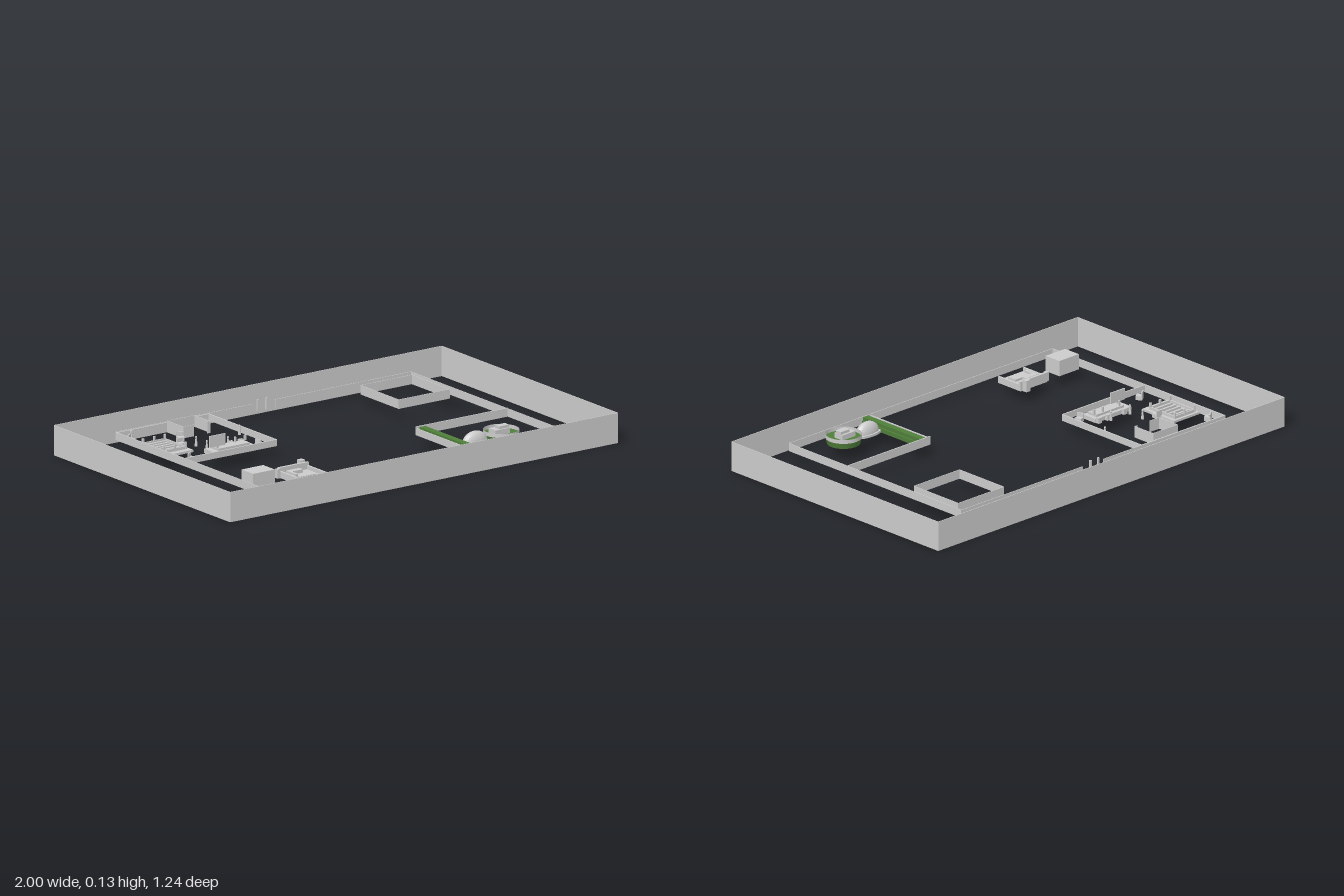
import * as THREE from 'three';

const grey = new THREE.MeshStandardMaterial({ color: 0xcccccc, flatShading: true, side: THREE.DoubleSide });
const green = new THREE.MeshStandardMaterial({ color: 0x4f7f3a, flatShading: true, side: THREE.DoubleSide });
const G = 0.05; // yard level

export function createModel() {
  const root = new THREE.Group();

  const add = (parent, name, geo, mat = grey) => {
    const m = new THREE.Mesh(geo, mat);
    m.name = name;
    parent.add(m);
    return m;
  };
  const group = (name, x = 0, z = 0, turn = 0) => {
    const g = new THREE.Group();
    g.name = name;
    g.position.set(x, 0, z);
    g.rotation.y = turn;
    root.add(g);
    return g;
  };
  // Box given by its extents on each axis
  const box = (parent, name, x0, x1, y0, y1, z0, z1, mat) => {
    const m = add(parent, name, new THREE.BoxGeometry(x1 - x0, y1 - y0, z1 - z0), mat);
    m.position.set((x0 + x1) / 2, (y0 + y1) / 2, (z0 + z1) / 2);
    return m;
  };
  // Thin upright wall between two points on the ground plan
  const wall = (parent, name, x0, z0, x1, z1, y0, y1, t = 0.003) => {
    const m = add(parent, name, new THREE.BoxGeometry(Math.hypot(x1 - x0, z1 - z0), y1 - y0, t));
    m.position.set((x0 + x1) / 2, (y0 + y1) / 2, (z0 + z1) / 2);
    m.rotation.y = -Math.atan2(z1 - z0, x1 - x0);
    return m;
  };
  // Closed rectangle of walls
  const enclosure = (parent, name, x0, x1, z0, z1, y0, y1, t) => {
    const c = [[x0, z0], [x1, z0], [x1, z1], [x0, z1]];
    c.forEach((p, i) => wall(parent, name, ...p, ...c[(i + 1) % 4], y0, y1, t));
  };

  // Tall outer walls
  const outer = group('outerWalls');
  enclosure(outer, 'outerWall', -0.998, 0.995, -0.618, 0.617, 0, 0.13, 0.003);

  // Low yard wall with a gateway at the back
  const yard = group('yardWall');
  [[-0.76, -0.51, -0.06, -0.51], [0.06, -0.51, 0.757, -0.51], [0.757, -0.51, 0.757, 0.52],
    [0.757, 0.52, -0.76, 0.52], [-0.76, 0.52, -0.76, -0.51]]
    .forEach((w) => wall(yard, 'lowWall', ...w, G, 0.085));
  for (const x of [-0.03, 0.015]) box(yard, 'gatePost', x - 0.004, x + 0.004, G, 0.1, -0.514, -0.506);

  // Pen in the back corner
  enclosure(group('pen'), 'penWall', 0.46, 0.722, -0.455, -0.19, G, 0.09, 0.003);

  // Garden corner wall
  const garden = group('gardenWall');
  wall(garden, 'gardenBackWall', 0.285, 0.168, 0.757, 0.168, G, 0.087, 0.005);
  wall(garden, 'gardenSideWall', 0.288, 0.168, 0.288, 0.52, G, 0.08, 0.005);

  // Stepped hedge
  const hedge = group('hedge');
  box(hedge, 'hedgeBase', 0.295, 0.34, G, 0.068, 0.17, 0.52, green);
  box(hedge, 'hedgeTop', 0.303, 0.332, 0.068, 0.083, 0.17, 0.52, green);

  // Round planter with a block in the middle
  const planter = group('planter', 0.535, 0.425);
  add(planter, 'planterBase', new THREE.CylinderGeometry(0.076, 0.07, 0.025, 32), green).position.y = 0.065;
  add(planter, 'planterRim', new THREE.CylinderGeometry(0.076, 0.076, 0.017, 32, 1, true)).position.y = 0.086;
  box(planter, 'planterBlock', -0.045, 0.03, 0.077, 0.1, -0.025, 0.022);
  box(planter, 'planterBlockTop', -0.02, 0.03, 0.1, 0.112, -0.015, 0.015);

  // Oval dome on a flat rim
  const dome = group('dome', 0.4, 0.425);
  const shell = add(dome, 'domeShell',
    new THREE.SphereGeometry(1, 28, 8, 0, Math.PI * 2, 0, Math.PI / 2));
  shell.scale.set(0.062, 0.05, 0.03);
  shell.position.y = 0.06;
  const rim = add(dome, 'domeRim', new THREE.CylinderGeometry(1, 1, 0.01, 28));
  rim.scale.set(0.074, 1, 0.037);
  rim.position.y = 0.058;

  // Room with low walls
  const room = group('room');
  enclosure(room, 'roomWall', -0.76, -0.285, -0.505, -0.032, G + 0.005, 0.083, 0.006);

  // Cubicle with a doorway
  const cubicle = group('cubicle');
  [[-0.52, -0.475, -0.38, -0.475], [-0.38, -0.475, -0.38, -0.365], [-0.52, -0.475, -0.52, -0.365],
    [-0.52, -0.365, -0.465, -0.365], [-0.395, -0.365, -0.38, -0.365]]
    .forEach((w) => wall(cubicle, 'cubicleWall', ...w, G, 0.1));

  // Large slatted platform
  const platform = group('platform');
  box(platform, 'platformBase', -0.753, -0.607, G, 0.06, -0.365, -0.175);
  enclosure(platform, 'platformRail', -0.737, -0.625, -0.35, -0.205, 0.06, 0.072, 0.006);
  for (let i = 0; i < 5; i++) {
    const z = -0.33 + i * 0.026;
    box(platform, 'platformSlat', -0.725, -0.637, 0.06, 0.069, z - 0.005, z + 0.005);
  }
  for (const x of [-0.737, -0.68, -0.625]) for (const z of [-0.35, -0.205])
    box(platform, 'platformPost', x - 0.004, x + 0.004, 0.06, 0.09, z - 0.004, z + 0.004);

  // Counter with a raised board
  const counter = group('counter');
  box(counter, 'counterBase', -0.578, -0.372, G, 0.068, -0.14, -0.06);
  box(counter, 'counterTop', -0.55, -0.39, 0.068, 0.078, -0.125, -0.075);
  box(counter, 'board', -0.585, -0.505, 0.085, 0.134, -0.094, -0.088);
  box(counter, 'boardPost', -0.55, -0.54, 0.078, 0.085, -0.094, -0.088);
  for (const x of [-0.53, -0.435, -0.385]) {
    box(counter, 'counterBracket', x - 0.01, x + 0.01, G, 0.075, -0.155, -0.14);
    box(counter, 'counterPost', x - 0.004, x + 0.004, 0.078, 0.1, -0.12, -0.112);
  }

  // Small seats, each with a back
  [[-0.732, -0.437, 0.6], [-0.55, -0.343, -0.4], [-0.6, -0.27, 0], [-0.69, -0.072, 0.6], [-0.337, -0.078, 1.9]]
    .forEach(([x, z, turn]) => {
      const seat = group('seat', x, z, turn);
      box(seat, 'seatBlock', -0.015, 0.015, G, 0.068, -0.014, 0.014);
      box(seat, 'seatBack', -0.015, 0.015, 0.068, 0.085, -0.014, -0.009);
    });

  // Small upright figures
  [[-0.71, -0.47], [-0.545, -0.24], [-0.545, -0.165], [-0.44, -0.16], [-0.3, -0.27]]
    .forEach(([x, z]) => {
      const figure = group('figure', x, z);
      add(figure, 'figureBody', new THREE.CylinderGeometry(0.003, 0.007, 0.035, 6)).position.y = G + 0.0175;
      add(figure, 'figureHead', new THREE.SphereGeometry(0.005, 6, 4)).position.y = G + 0.039;
    });

  // Plain crate
  box(root, 'crate', -0.737, -0.625, G, 0.118, 0.34, 0.422);

  // Low bay with a raised back and fittings
  const bay = group('bay');
  box(bay, 'bayFloor', -0.545, -0.392, G, 0.062, 0.33, 0.465);
  box(bay, 'bayBack', -0.545, -0.392, 0.062, 0.092, 0.33, 0.342);
  for (const x of [-0.545, -0.402]) box(bay, 'baySide', x, x + 0.01, 0.062, 0.078, 0.342, 0.465);
  box(bay, 'bayBench', -0.525, -0.455, 0.062, 0.082, 0.362, 0.388);
  box(bay, 'bayBenchArm', -0.525, -0.512, 0.062, 0.082, 0.388, 0.43);
  box(bay, 'bayStep', -0.512, -0.43, 0.062, 0.072, 0.4, 0.445);
  box(bay, 'bayPost', -0.425, -0.402, G, 0.1, 0.305, 0.33);
  box(bay, 'baySidePost', -0.56, -0.545, G, 0.09, 0.335, 0.352);

  return root;
}
